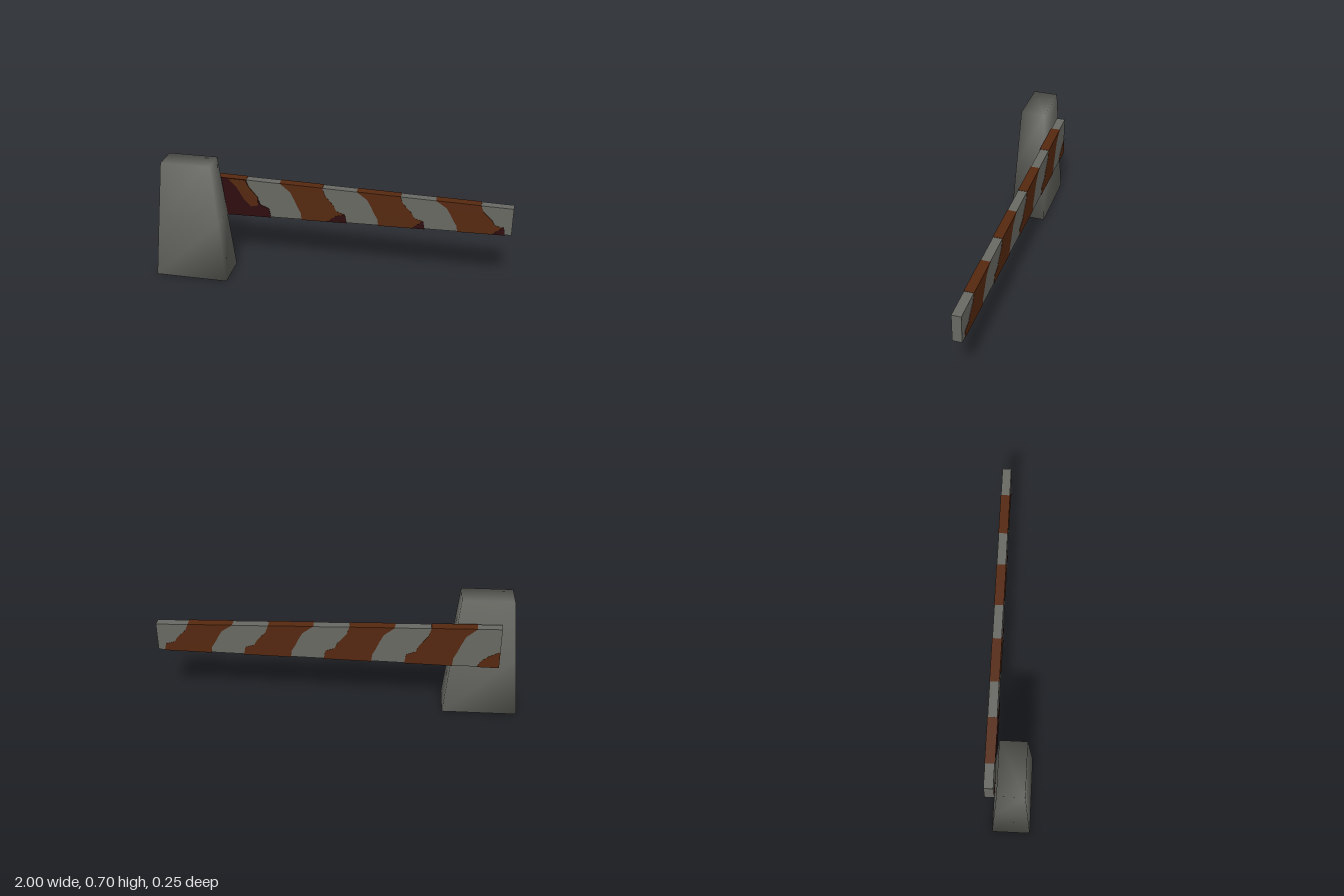
import * as THREE from 'three';
import { mergeVertices } from 'three/addons/utils/BufferGeometryUtils.js';

const X0 = -0.87, X1 = 1, Z0 = -0.123, Z1 = -0.073;

function material(name, color) {
  const m = new THREE.MeshStandardMaterial({ color });
  m.name = name;
  return m;
}

// The arm narrows evenly towards its free end
const taper = (x) => (x - X0) / (X1 - X0);
const topY = (x) => 0.57 - 0.04 * taper(x);
const bottomY = (x) => 0.33 + 0.04 * taper(x);

// Flat outline extruded from zMin to zMax
function slab(name, points, zMin, zMax, mat) {
  const shape = new THREE.Shape(points.map(([x, y]) => new THREE.Vector2(x, y)));
  const geo = new THREE.ExtrudeGeometry(shape, { depth: zMax - zMin, bevelEnabled: false });
  geo.translate(0, 0, zMin);
  const mesh = new THREE.Mesh(geo, mat);
  mesh.name = name;
  return mesh;
}

// Stepped stripe edges: [x offset, height share from the top]
const LEFT = [[0, 0], [0.06, 0.22], [0.085, 0.45], [0.1, 0.62], [0.12, 0.8], [0.125, 1]];
const RIGHT = [[0.245, 0], [0.26, 0.22], [0.31, 0.5], [0.325, 0.66], [0.375, 0.75], [0.385, 1]];

function stripeOutline(start, grow) {
  const place = ([dx, t]) => {
    const x = start + dx;
    return [x, THREE.MathUtils.lerp(topY(x) + grow, bottomY(x) - grow, t)];
  };
  return [...LEFT.map(place), ...RIGHT.map(place).reverse()];
}

export function createModel() {
  const group = new THREE.Group();
  const grey = material('weathered grey', 0x686963);
  const rust = material('rust brown', 0x55280f);
  const maroon = material('dark maroon', 0x2e0c0e);

  // Tapered post with softly shaded corners
  let postGeo = new THREE.BoxGeometry(0.42, 0.7, 0.21, 1, 2, 1);
  const p = postGeo.attributes.position;
  for (let i = 0; i < p.count; i++) {
    const t = p.getY(i) / 0.7 + 0.5;
    p.setX(i, p.getX(i) * (1 - t * 0.33));
    p.setZ(i, p.getZ(i) * (1 - t * 0.32));
  }
  postGeo.deleteAttribute('normal');
  postGeo.deleteAttribute('uv');
  postGeo = mergeVertices(postGeo);
  postGeo.computeVertexNormals();
  const post = new THREE.Mesh(postGeo, grey);
  post.name = 'post';
  post.position.set(-0.79, 0.35, 0.02);
  group.add(post);

  // Barrier arm
  group.add(slab('arm', [[X0, bottomY(X0)], [X1, bottomY(X1)], [X1, topY(X1)], [X0, topY(X0)]], Z0, Z1, grey));

  // Painted stripes wrapping around the arm
  const stripes = new THREE.Group();
  stripes.name = 'stripes';
  group.add(stripes);
  [-0.74, -0.3, 0.14, 0.58].forEach((start, i) => {
    stripes.add(slab('stripe', stripeOutline(start, 0.0015), Z0 - 0.0015, Z1 + 0.0015, rust));

    // Dark underside of the stripe
    const a = start + 0.125, b = start + 0.385;
    stripes.add(slab('stripeUnderside',
      [[a, bottomY(a) - 0.003], [b, bottomY(b) - 0.003], [b, bottomY(b)], [a, bottomY(a)]],
      Z0 - 0.001, Z1 + 0.001, maroon));

    // Dark lower corner on the front
    if (i > 0) {
      const w = i === 1 ? 0.11 : 0.07, c = b - w;
      stripes.add(slab('stripeCorner',
        [[c, bottomY(c)], [b, bottomY(b)], [b - 0.01, bottomY(b) + 0.05], [c + 0.05, bottomY(c) + 0.04]],
        Z1, Z1 + 0.003, maroon));
    }
  });

  // Stripe beside the post: dark front with a rust patch
  stripes.add(slab('darkStripeFront', stripeOutline(-0.74, 0.0015), Z1, Z1 + 0.003, maroon));
  stripes.add(slab('rustPatch',
    [[-0.6, 0.563], [-0.5, 0.561], [-0.48, 0.52], [-0.43, 0.46], [-0.43, 0.41], [-0.47, 0.4], [-0.51, 0.44], [-0.55, 0.51]],
    Z1, Z1 + 0.005, rust));

  // Cut-off stripe at the pivot end
  stripes.add(slab('endStripe',
    [[X0, 0.329], [-0.75, 0.331], [-0.77, 0.37], [-0.81, 0.4], [X0, 0.43]],
    Z0 - 0.0015, Z1 + 0.0015, rust));

  return group;
}
